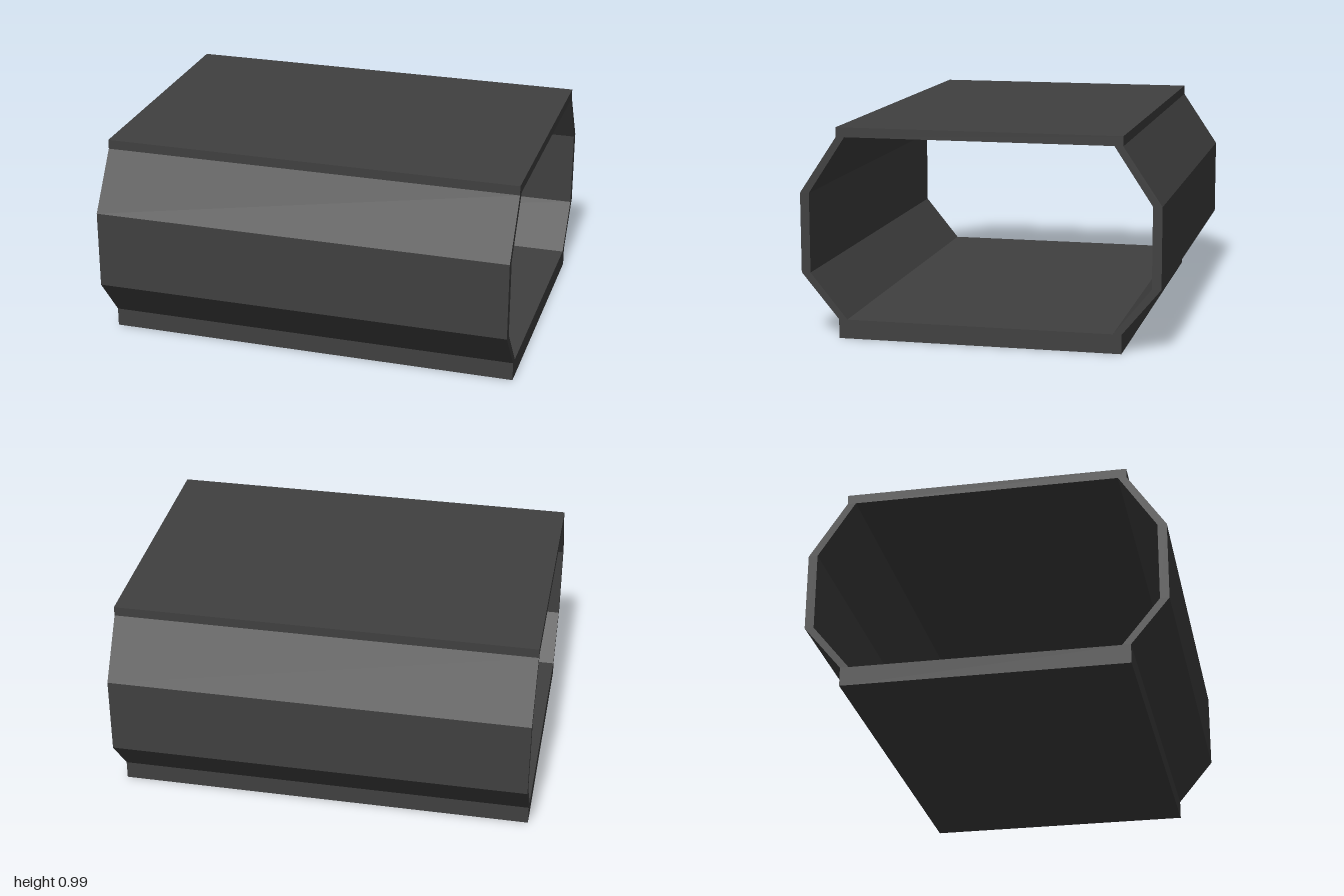
import * as THREE from 'three';

export function createModel() {
  const group = new THREE.Group();
  const material = new THREE.MeshStandardMaterial({ color: 0x404040, flatShading: true });
  const length = 2;

  // Flat slabs closing the top and bottom
  const addSlab = (name, y0, y1) => {
    const slab = new THREE.Mesh(new THREE.BoxGeometry(length, y1 - y0, 1.33), material);
    slab.position.y = (y0 + y1) / 2;
    slab.name = name;
    group.add(slab);
  };
  addSlab('floorSlab', 0, 0.09);
  addSlab('roofSlab', 0.945, 0.99);

  // Angled side wall: outer face going up, then inner face going down (z, y)
  const profile = [
    [0.665, 0.09], [0.843, 0.305], [0.843, 0.68], [0.665, 0.945],
    [0.625, 0.945], [0.8, 0.68], [0.8, 0.305], [0.625, 0.09],
  ];
  for (const [name, side] of [['frontWall', 1], ['backWall', -1]]) {
    const shape = new THREE.Shape(profile.map(([z, y]) => new THREE.Vector2(-z * side, y)));
    const geometry = new THREE.ExtrudeGeometry(shape, { depth: length, bevelEnabled: false });
    geometry.translate(0, 0, -length / 2).rotateY(Math.PI / 2);
    const wall = new THREE.Mesh(geometry, material);
    wall.name = name;
    group.add(wall);
  }
  return group;
}
